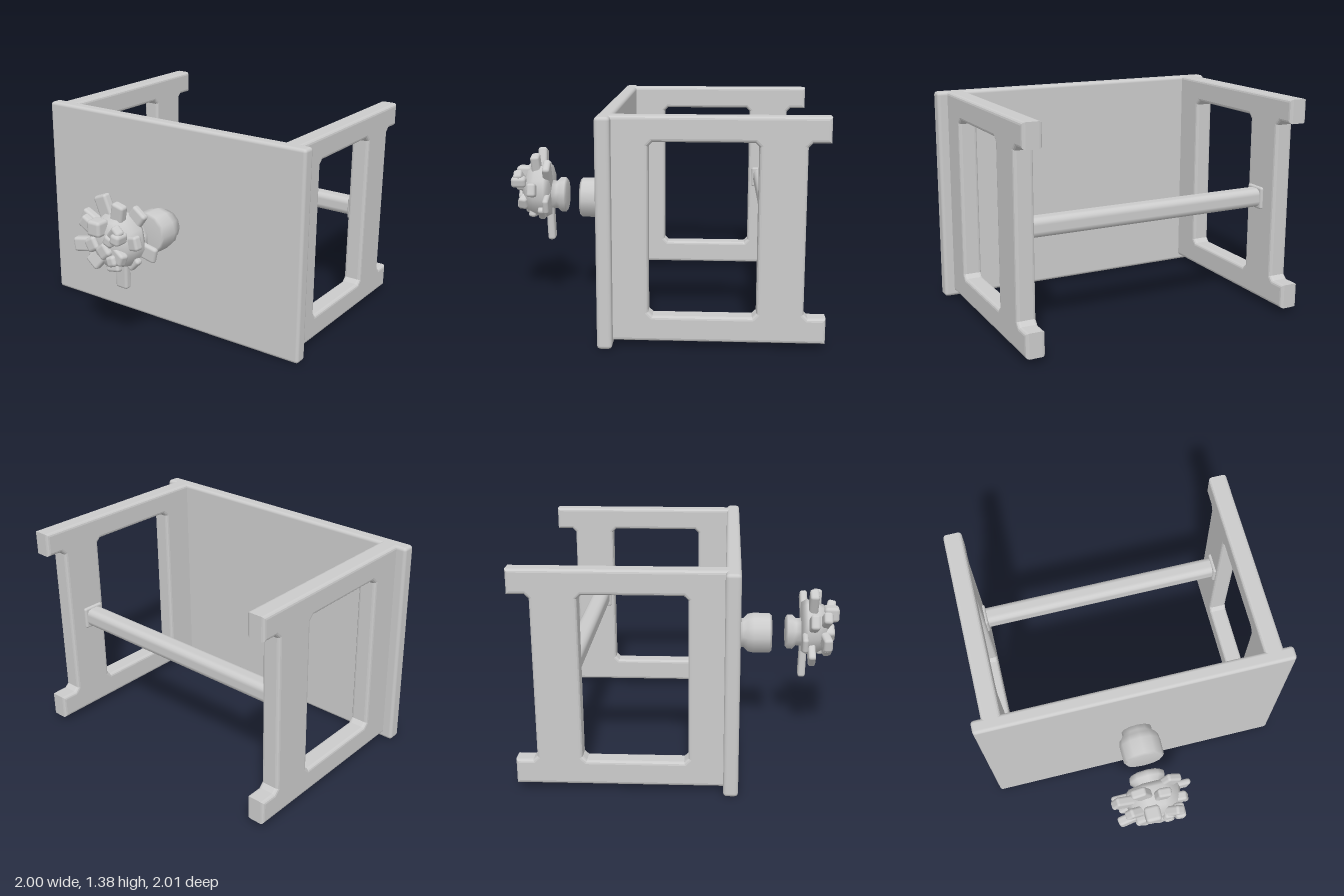
import * as THREE from 'three';
import { RoundedBoxGeometry } from 'three/addons/geometries/RoundedBoxGeometry.js';

const grey = new THREE.MeshStandardMaterial({ color: 0xcccccc });

function add(parent, name, geometry, x = 0, y = 0, z = 0) {
  const mesh = new THREE.Mesh(geometry, grey);
  mesh.name = name;
  mesh.position.set(x, y, z);
  parent.add(mesh);
  return mesh;
}

const block = (w, h, d, r) => new RoundedBoxGeometry(w, h, d, 2, r);
const points = (list) => list.map(([a, b]) => new THREE.Vector2(a, b));

// Side frame outline drawn as (z, y), with the opening and the notch between the feet
function sideFrameGeometry() {
  const c = 0.025, thickness = 0.12, bevel = 0.02;
  const low = 0.035, high = 1.375, railLow = 0.19, railHigh = 1.225;
  const shape = new THREE.Shape(points([
    [0.28, low], [0.28, high], [-1, high], [-1, railHigh],
    [-0.87 - c, railHigh], [-0.87, railHigh - c],
    [-0.87, railLow + c], [-0.87 - c, railLow],
    [-1, railLow], [-1, low],
  ]));
  const a = -0.595, b = 0.04;
  shape.holes.push(new THREE.Path(points([
    [a + c, railLow], [b - c, railLow], [b, railLow + c], [b, railHigh - c],
    [b - c, railHigh], [a + c, railHigh], [a, railHigh - c], [a, railLow + c],
  ])));
  const geometry = new THREE.ExtrudeGeometry(shape, {
    depth: thickness - 2 * bevel, bevelThickness: bevel, bevelSize: bevel,
    bevelOffset: -bevel, bevelSegments: 3,
  });
  geometry.translate(0, 0, -(thickness - 2 * bevel) / 2);
  geometry.rotateY(-Math.PI / 2);
  return geometry;
}

// Turned body whose axis runs along z; profile is (radius, z)
function turned(profile, sides) {
  return new THREE.LatheGeometry(points(profile), sides).rotateX(Math.PI / 2);
}

export function createModel() {
  const model = new THREE.Group();
  model.name = 'tippedTable';

  // Table lying on its long edge, top facing forward
  add(model, 'tableTop', block(2, 1.375, 0.09, 0.022), 0, 0.6875, 0.295);
  for (const side of [-1, 1]) {
    add(model, 'sideFrame', sideFrameGeometry(), side * 0.875, 0, 0);
    add(model, 'crossbarCollar', block(0.03, 0.145, 0.145, 0.014), side * 0.812, 0.705, -0.69);
  }
  add(model, 'crossbar', block(1.68, 0.12, 0.12, 0.04), 0, 0.705, -0.69);

  // Vase standing out from the table top
  add(model, 'vase', turned([
    [0, 0.32], [0.1, 0.33], [0.1, 0.37], [0.13, 0.4], [0.137, 0.44],
    [0.135, 0.545], [0.122, 0.56], [0, 0.56],
  ], 12), 0, 0.705, 0);

  // Bouquet floating ahead of the vase
  const bouquet = new THREE.Group();
  bouquet.name = 'bouquet';
  model.add(bouquet);
  add(bouquet, 'stemBundle', turned([
    [0, 0.65], [0.1, 0.65], [0.12, 0.665], [0.12, 0.695], [0.095, 0.72], [0.1, 0.77], [0, 0.77],
  ], 10), -0.015, 0.72, 0);
  add(bouquet, 'flowerCore', turned([
    [0, 0.75], [0.17, 0.755], [0.19, 0.79], [0.175, 0.86], [0.15, 0.91], [0.09, 0.945], [0, 0.95],
  ], 9), -0.01, 0.75, 0);

  // Petals and leaves reach from the core to each tip: x, y, z, width, thickness
  const tips = [
    [-0.02, 0.41, 0.765, 0.09, 0.05], [0.245, 0.68, 0.765, 0.1, 0.04],
    [-0.27, 0.7, 0.77, 0.1, 0.04], [0.14, 0.95, 0.77, 0.11, 0.05],
    [-0.21, 0.57, 0.82, 0.11, 0.05], [-0.12, 1.02, 0.83, 0.1, 0.06],
    [-0.27, 0.87, 0.83, 0.1, 0.06], [0.05, 1.0, 0.86, 0.09, 0.06],
    [0.13, 0.6, 0.81, 0.1, 0.05], [0.2, 0.79, 0.87, 0.09, 0.06],
    [-0.26, 0.7, 0.92, 0.09, 0.06], [-0.2, 0.88, 0.92, 0.08, 0.06],
    [0.02, 0.57, 0.89, 0.1, 0.05], [-0.12, 0.6, 0.93, 0.1, 0.06],
    [0.13, 0.89, 0.97, 0.07, 0.06], [0.14, 0.68, 0.94, 0.08, 0.06],
  ];
  for (const [x, y, z, width, thickness] of tips) {
    const root = new THREE.Vector3(-0.01, 0.74, 0.8 + (z - 0.8) * 0.7);
    const tip = new THREE.Vector3(x, y, z);
    const length = root.distanceTo(tip);
    const petal = add(bouquet, 'petal', block(width, thickness, length, 0.018));
    petal.position.lerpVectors(root, tip, 0.5);
    petal.lookAt(tip);
    // Keep the broad face of the petal toward the front
    petal.quaternion.setFromRotationMatrix(new THREE.Matrix4().lookAt(tip, root, new THREE.Vector3(0, 0, 1)));
  }

  // Small blossoms on the front of the bunch: x, y, z, size
  const blossoms = [
    [-0.05, 0.86, 0.95, 0.1], [0.0, 0.72, 0.93, 0.09], [0.12, 0.83, 0.96, 0.07],
    [-0.1, 0.74, 0.92, 0.09], [0.05, 0.8, 0.94, 0.07], [0.06, 0.67, 0.93, 0.07],
  ];
  blossoms.forEach(([x, y, z, size], i) => {
    const blossom = add(bouquet, 'blossom', block(size, size, 0.1, 0.022), x, y, z);
    blossom.rotation.z = i * 0.7;
  });

  return model;
}
